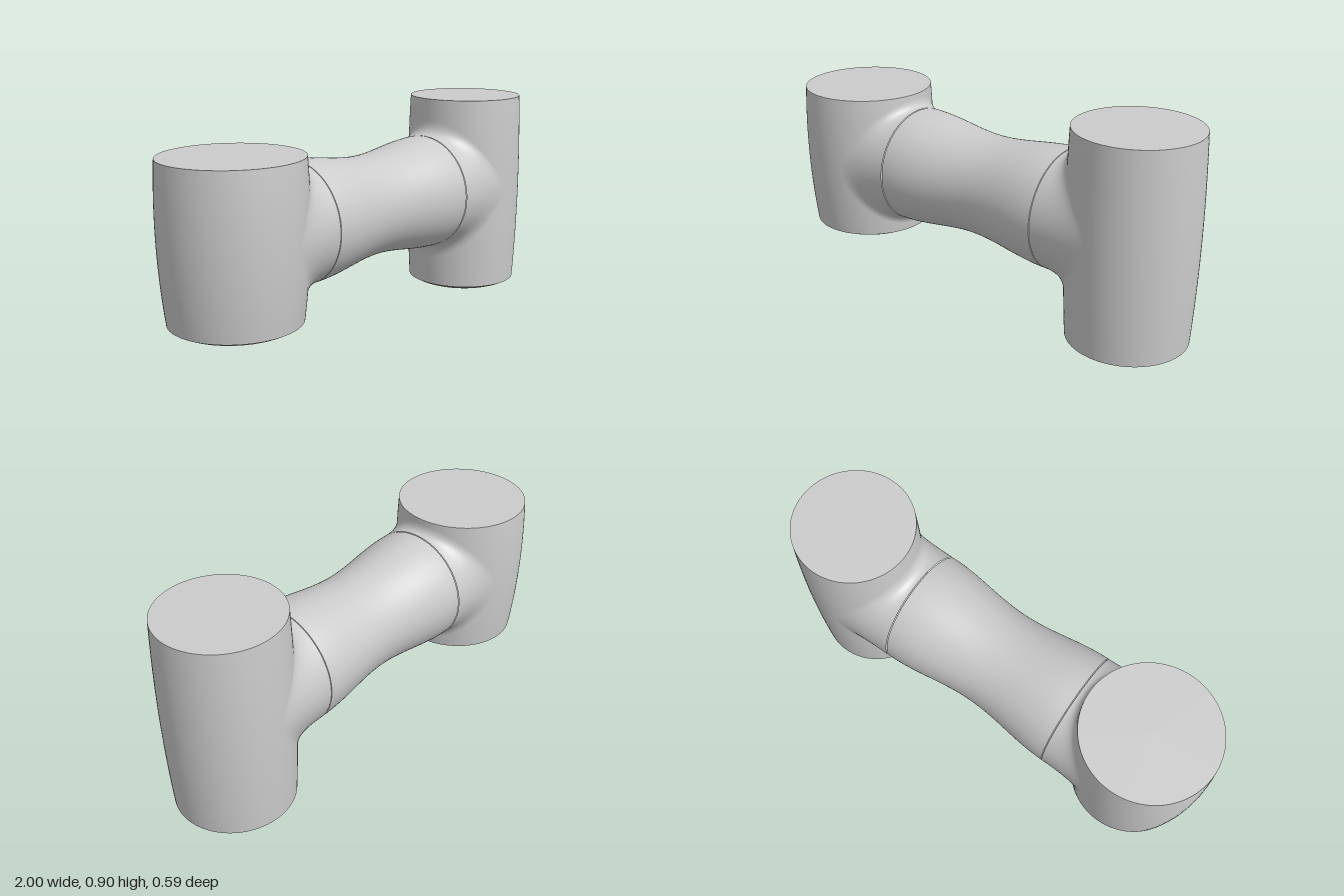
import * as THREE from 'three';
import { toCreasedNormals } from 'three/addons/utils/BufferGeometryUtils.js';

const SEG = 96;
const TUBE_Y = 0.483;   // height of the connecting tube's axis
const TUBE_R = 0.255;   // tube radius at both joints

// Slightly barrelled joint housings, one at each end
const housings = [
  { name: 'rightHousing', cx: -0.707, R: 0.293, k: 0.15, ym: 0.57, y0: 0.155, y1: 0.8,
    joint: -0.385, up: 0.31, down: 0.322, side: 0.278 },
  { name: 'leftHousing', cx: 0.735, R: 0.265, k: 0.06, ym: 0.5, y0: 0.022, y1: 0.9,
    joint: 0.425, up: 0.33, down: 0.335, side: 0.262 },
];

const radiusAt = (h, y) => h.R - h.k * (y - h.ym) ** 2;

function lathe(points, crease = 0.5) {
  const pts = points.map(([r, y]) => new THREE.Vector2(r, y));
  return toCreasedNormals(new THREE.LatheGeometry(pts, SEG), crease);
}

// Barrel wall with a flat top
function barrel(h) {
  const pts = [[0, h.y0]];
  for (let i = 0; i <= 20; i++) {
    const y = h.y0 + (h.y1 - h.y0) * i / 20;
    pts.push([radiusAt(h, y), y]);
  }
  pts.push([0, h.y1]);
  return lathe(pts);
}

// Rounded lid under the barrel with a shallow dish in its centre
function bottomCap(h) {
  const r = radiusAt(h, h.y0), y = h.y0;
  return lathe([
    [0, y - 0.008], [r * 0.58, y - 0.008], [r * 0.62, y - 0.011], [r * 0.65, y - 0.019],
    [r * 0.68, y - 0.022], [r * 0.77, y - 0.022], [r * 0.84, y - 0.019],
    [r * 0.91, y - 0.012], [r * 0.96, y - 0.002], [r * 0.965, y + 0.002],
  ], 0.7);
}

// Blend from the round tube end onto the barrel wall, tangent at both ends
function fillet(h) {
  const s = Math.sign(h.cx), N = 14, pos = [], idx = [];
  for (let i = 0; i <= N; i++) {
    const u = i / N;
    for (let j = 0; j < SEG; j++) {
      const t = j / SEG * Math.PI * 2, sn = Math.sin(t), cs = Math.cos(t);
      const ya = TUBE_Y + TUBE_R * sn, za = TUBE_R * cs;
      const yb = TUBE_Y + (sn > 0 ? h.up : h.down) * sn, zb = h.side * cs;
      const R = radiusAt(h, yb), d = Math.sqrt(R * R - zb * zb);
      const reach = (R - zb / R * za) / (d / R);
      const curve = new THREE.QuadraticBezierCurve3(
        new THREE.Vector3(h.joint, ya, za),
        new THREE.Vector3(h.cx - s * reach, ya, za),
        new THREE.Vector3(h.cx - s * d, yb, zb));
      pos.push(...curve.getPoint(u).toArray());
      if (i < N) {
        const a = i * SEG + j, b = i * SEG + (j + 1) % SEG, c = a + SEG, e = b + SEG;
        if (s > 0) idx.push(a, c, b, b, c, e);
        else idx.push(a, b, c, b, e, c);
      }
    }
  }
  const g = new THREE.BufferGeometry();
  g.setAttribute('position', new THREE.Float32BufferAttribute(pos, 3));
  g.setIndex(idx);
  g.computeVertexNormals();
  return g;
}

// Waisted connecting tube with a fine seam groove at each end
function waistedTube(x0, x1) {
  const mid = (x0 + x1) / 2, half = (x1 - x0) / 2, gap = 0.004;
  const pts = [[TUBE_R - 0.008, x0 + 0.001]];
  for (let i = 0; i <= 32; i++) {
    const x = x0 + gap + (x1 - x0 - 2 * gap) * i / 32;
    const u = Math.abs(x - mid) / half;
    pts.push([0.2175 + 0.0375 * (1 - Math.cos(Math.PI * u)) / 2, x]);
  }
  pts.push([TUBE_R - 0.008, x1 - 0.001]);
  return lathe(pts).rotateZ(-Math.PI / 2).translate(0, TUBE_Y, 0);
}

export function createModel() {
  const model = new THREE.Group();
  model.name = 'armLink';
  const grey = new THREE.MeshStandardMaterial({ color: 0xcccccc });
  const add = (parent, name, geometry, x = 0) => {
    const mesh = new THREE.Mesh(geometry, grey);
    mesh.name = name;
    mesh.position.x = x;
    parent.add(mesh);
  };

  for (const h of housings) {
    const group = new THREE.Group();
    group.name = h.name;
    add(group, 'barrel', barrel(h), h.cx);
    add(group, 'bottomCap', bottomCap(h), h.cx);
    add(group, 'neckFillet', fillet(h));
    model.add(group);
  }
  add(model, 'connectingTube', waistedTube(housings[0].joint, housings[1].joint));
  return model;
}
